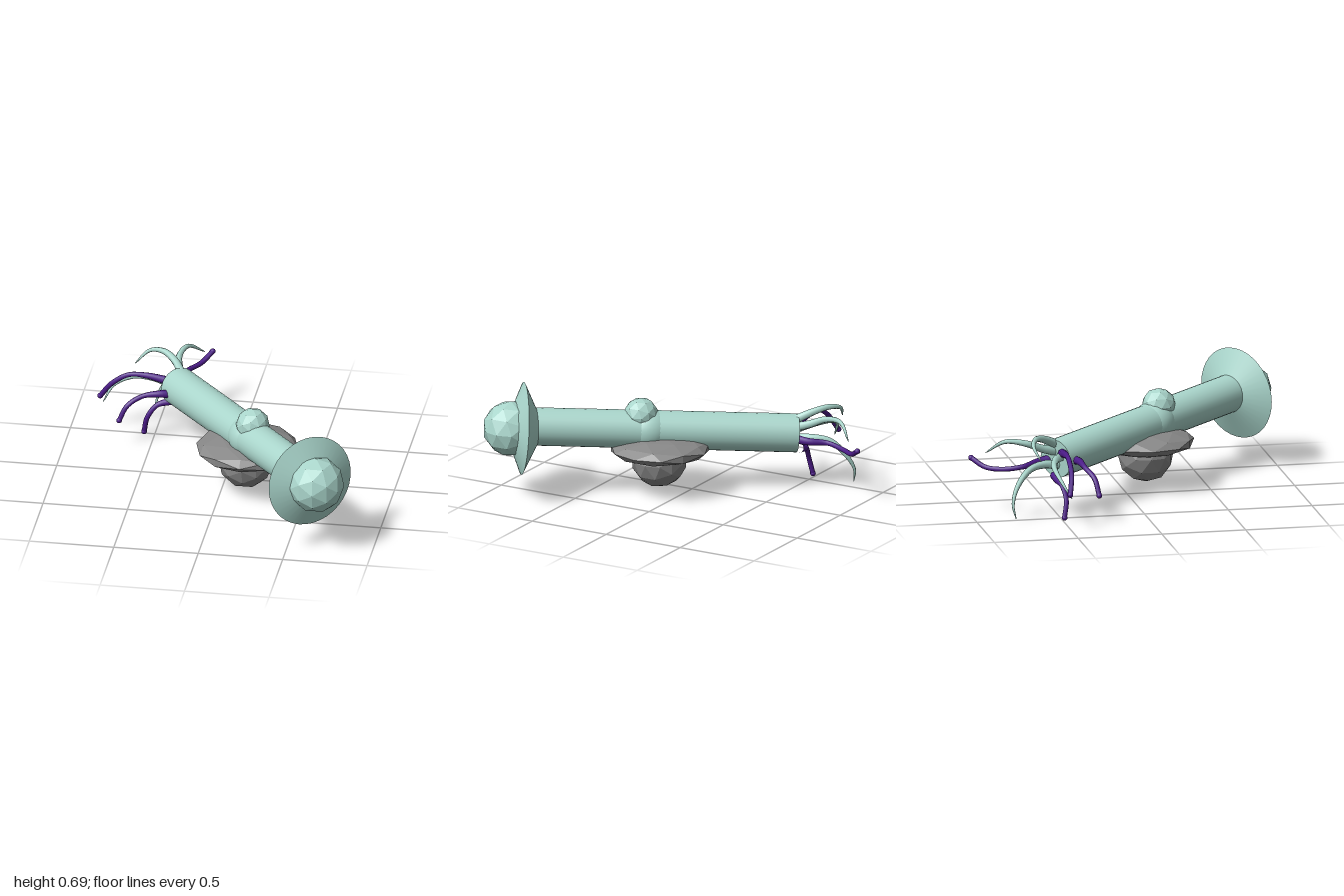
import * as THREE from 'three';

const V = (p) => new THREE.Vector3(...p);

export function createModel() {
  const group = new THREE.Group();
  const teal = new THREE.MeshStandardMaterial({ color: 0xaad6cc });
  const tealFlat = new THREE.MeshStandardMaterial({ color: 0xaad6cc, flatShading: true });
  const grey = new THREE.MeshStandardMaterial({ color: 0x888888, flatShading: true });
  const purple = new THREE.MeshStandardMaterial({ color: 0x4d1c8a });

  const tail = V([-0.36, 0.325, -0.5]);
  const front = V([0.6, 0.43, 0.755]);
  const axis = front.clone().sub(tail).normalize();
  const alongAxis = new THREE.Quaternion().setFromUnitVectors(new THREE.Vector3(0, 1, 0), axis);

  function add(name, geometry, material, position) {
    const mesh = new THREE.Mesh(geometry, material);
    mesh.name = name;
    mesh.position.copy(position);
    group.add(mesh);
    return mesh;
  }

  // faceted ball, optionally squashed
  function ball(name, radius, material, position, squash = 1) {
    const geometry = new THREE.IcosahedronGeometry(radius, 1);
    geometry.scale(1, squash, 1);
    geometry.computeVertexNormals();
    return add(name, geometry, material, V(position));
  }

  // tube along a curve whose radius follows a rule of t
  function tentacle(name, points, material, radiusAt) {
    const curve = new THREE.CatmullRomCurve3(points.map(V));
    const segments = 24, sides = 8;
    const geometry = new THREE.TubeGeometry(curve, segments, 1, sides);
    const pos = geometry.attributes.position;
    const p = new THREE.Vector3();
    for (let i = 0; i <= segments; i++) {
      const t = i / segments;
      const c = curve.getPointAt(t);
      for (let j = 0; j <= sides; j++) {
        const k = i * (sides + 1) + j;
        p.fromBufferAttribute(pos, k).sub(c).multiplyScalar(radiusAt(t)).add(c);
        pos.setXYZ(k, p.x, p.y, p.z);
      }
    }
    add(name, geometry, material, new THREE.Vector3());
  }

  // long body
  const bodyLength = tail.distanceTo(front);
  add('body', new THREE.CylinderGeometry(0.112, 0.114, bodyLength, 28), teal,
    tail.clone().lerp(front, 0.5)).quaternion.copy(alongAxis);

  // swollen joint in the middle of the body
  const jointGeometry = new THREE.SphereGeometry(0.123, 24, 16);
  jointGeometry.scale(1, 1.15, 1);
  add('joint', jointGeometry, teal, tail.clone().lerp(front, 0.555)).quaternion.copy(alongAxis);

  // wide collar: two shallow cones meeting at a sharp rim
  const collar = new THREE.Group();
  collar.name = 'collar';
  collar.position.set(0.625, 0.42, 0.783);
  collar.quaternion.copy(alongAxis);
  const back = new THREE.Mesh(new THREE.CylinderGeometry(0.272, 0.1, 0.085, 36, 1, true), teal);
  back.name = 'collarBack';
  back.position.y = -0.0425;
  const face = new THREE.Mesh(new THREE.CylinderGeometry(0.1, 0.272, 0.07, 36), teal);
  face.name = 'collarFace';
  face.position.y = 0.035;
  collar.add(back, face);
  group.add(collar);

  // faceted balls
  ball('head', 0.166, tealFlat, [0.672, 0.425, 0.835]);
  ball('topDome', 0.1, tealFlat, [0.198, 0.478, 0.23]);
  ball('saucer', 0.302, grey, [0.15, 0.28, 0.13], 0.25);
  ball('bellyPod', 0.165, grey, [0.143, 0.2, 0.14]);

  // pale tentacles, tapering to a point
  [
    [[-0.33, 0.36, -0.48], [-0.365, 0.39, -0.58], [-0.385, 0.43, -0.68], [-0.35, 0.44, -0.8], [-0.27, 0.36, -0.9]],
    [[-0.36, 0.29, -0.49], [-0.39, 0.3, -0.59], [-0.44, 0.28, -0.68], [-0.49, 0.19, -0.76], [-0.53, 0.1, -0.79], [-0.545, 0.02, -0.775]],
    [[-0.33, 0.4, -0.48], [-0.39, 0.45, -0.57], [-0.47, 0.475, -0.64], [-0.56, 0.455, -0.675], [-0.64, 0.38, -0.645]],
    [[-0.37, 0.34, -0.47], [-0.51, 0.35, -0.535], [-0.64, 0.335, -0.565], [-0.75, 0.28, -0.545], [-0.805, 0.19, -0.495]],
  ].forEach((points, i) => tentacle(`paleTentacle${i + 1}`, points, teal,
    (t) => 0.002 + 0.026 * Math.pow(1 - t, 0.75)));

  // dark tentacles, with thick roots and rounded tips
  [
    [[-0.3, 0.31, -0.52], [-0.315, 0.3, -0.6], [-0.375, 0.29, -0.7], [-0.35, 0.275, -0.82], [-0.29, 0.28, -0.91], [-0.235, 0.325, -0.98]],
    [[-0.4, 0.365, -0.47], [-0.55, 0.39, -0.478], [-0.65, 0.385, -0.482], [-0.75, 0.32, -0.487], [-0.825, 0.22, -0.51]],
    [[-0.39, 0.32, -0.4], [-0.45, 0.325, -0.38], [-0.55, 0.31, -0.365], [-0.635, 0.26, -0.325], [-0.68, 0.17, -0.307]],
    [[-0.37, 0.23, -0.51], [-0.42, 0.215, -0.505], [-0.485, 0.195, -0.49], [-0.54, 0.12, -0.475], [-0.562, 0.018, -0.49]],
  ].forEach((points, i) => {
    tentacle(`darkTentacle${i + 1}`, points, purple, (t) => 0.015 + 0.013 * Math.max(0, 1 - 2.5 * t));
    add(`darkTentacleTip${i + 1}`, new THREE.SphereGeometry(0.017, 10, 8), purple, V(points[points.length - 1]));
  });

  return group;
}
